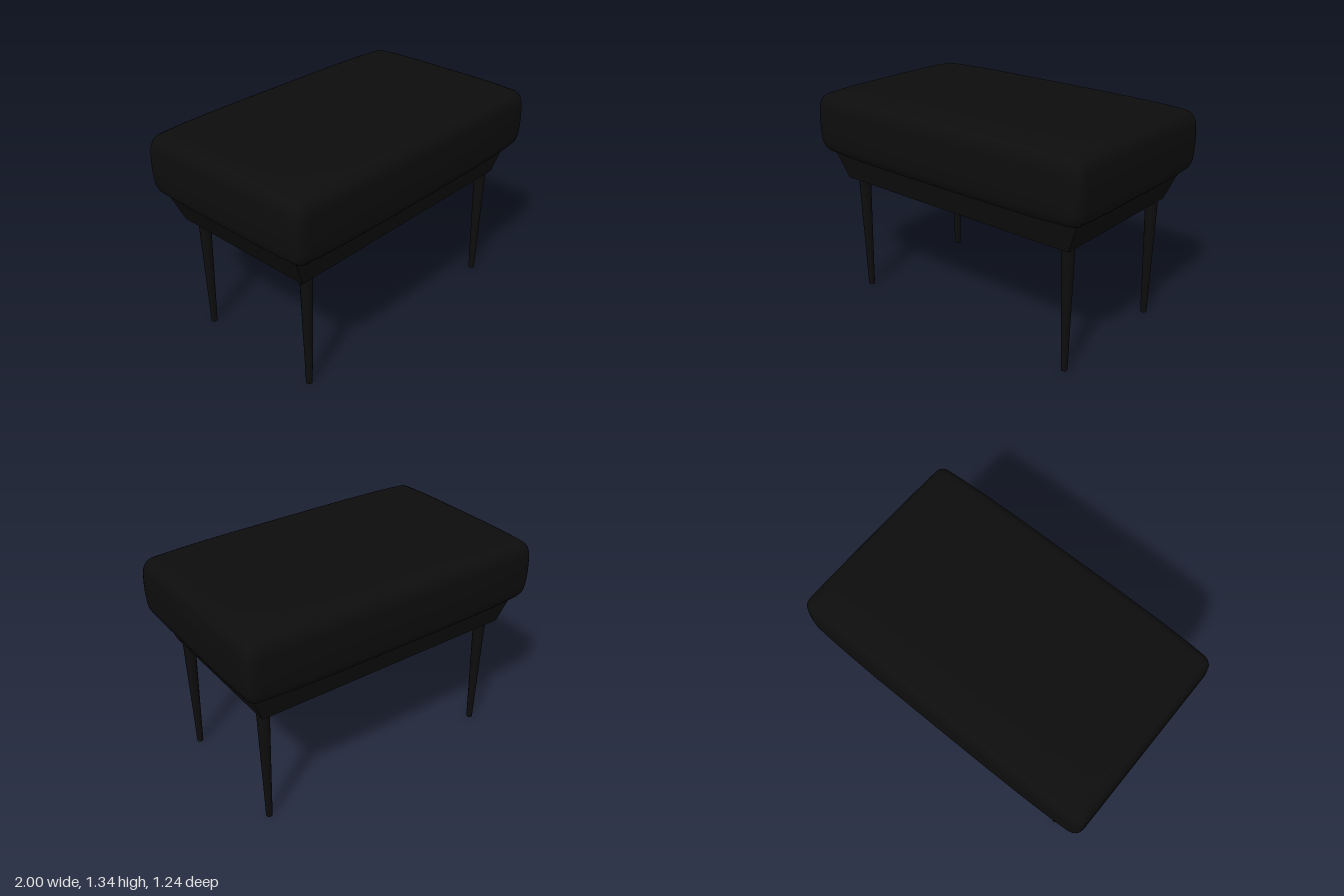
import * as THREE from 'three';
import { mergeVertices } from 'three/addons/utils/BufferGeometryUtils.js';

const dark = new THREE.MeshStandardMaterial({ color: 0x0d0d0d });

function add(group, name, geometry, x = 0, y = 0, z = 0) {
  const mesh = new THREE.Mesh(geometry, dark);
  mesh.name = name;
  mesh.position.set(x, y, z);
  group.add(mesh);
}

// Padded block: edges rounded elliptically, then every side crowned outwards
function cushionGeometry(size, radius) {
  let geo = new THREE.BoxGeometry(size.x, size.y, size.z, 70, 24, 50);
  geo.deleteAttribute('normal');
  geo.deleteAttribute('uv');
  geo = mergeVertices(geo);
  const half = size.clone().multiplyScalar(0.5);
  const inner = half.clone().sub(radius);
  const low = inner.clone().negate();
  const pos = geo.attributes.position;
  const p = new THREE.Vector3(), core = new THREE.Vector3();
  for (let i = 0; i < pos.count; i++) {
    p.fromBufferAttribute(pos, i);
    core.copy(p).clamp(low, inner);
    p.sub(core).divide(radius).normalize().multiply(radius).add(core);
    const u = p.x / half.x, v = p.y / half.y, w = p.z / half.z;
    pos.setXYZ(i,
      p.x * (1 - 0.014 * v * v),
      p.y * (1 - 0.05 * u ** 4 - 0.08 * w ** 4),
      p.z * (1 - 0.03 * u ** 4 - 0.018 * v * v));
  }
  geo.computeVertexNormals();
  return geo;
}

// Box whose lower face is narrower than its upper face
function taperedBox(topX, topZ, bottomX, bottomZ, height) {
  const geo = new THREE.BoxGeometry(topX, height, topZ);
  const pos = geo.attributes.position;
  for (let i = 0; i < pos.count; i++) {
    if (pos.getY(i) < 0) {
      pos.setX(i, Math.sign(pos.getX(i)) * bottomX / 2);
      pos.setZ(i, Math.sign(pos.getZ(i)) * bottomZ / 2);
    }
  }
  geo.computeVertexNormals();
  return geo;
}

export function createModel() {
  const group = new THREE.Group();
  group.name = 'footstool';

  add(group, 'cushion', cushionGeometry(
    new THREE.Vector3(2, 0.415, 1.24), new THREE.Vector3(0.06, 0.09, 0.05)), 0, 1.1275, 0);

  // Sloping base frame, running slightly up into the cushion
  add(group, 'apron', taperedBox(1.876, 1.044, 1.725, 0.97, 0.18), -0.003, 0.85, 0);

  // Four slim tapered legs
  const legGeo = new THREE.CylinderGeometry(0.038, 0.019, 0.77, 16);
  for (const [side, x] of [['Right', -0.782], ['Left', 0.82]]) {
    add(group, 'front' + side + 'Leg', legGeo, x, 0.385, 0.428);
    add(group, 'back' + side + 'Leg', legGeo, x, 0.385, -0.423);
  }
  return group;
}
